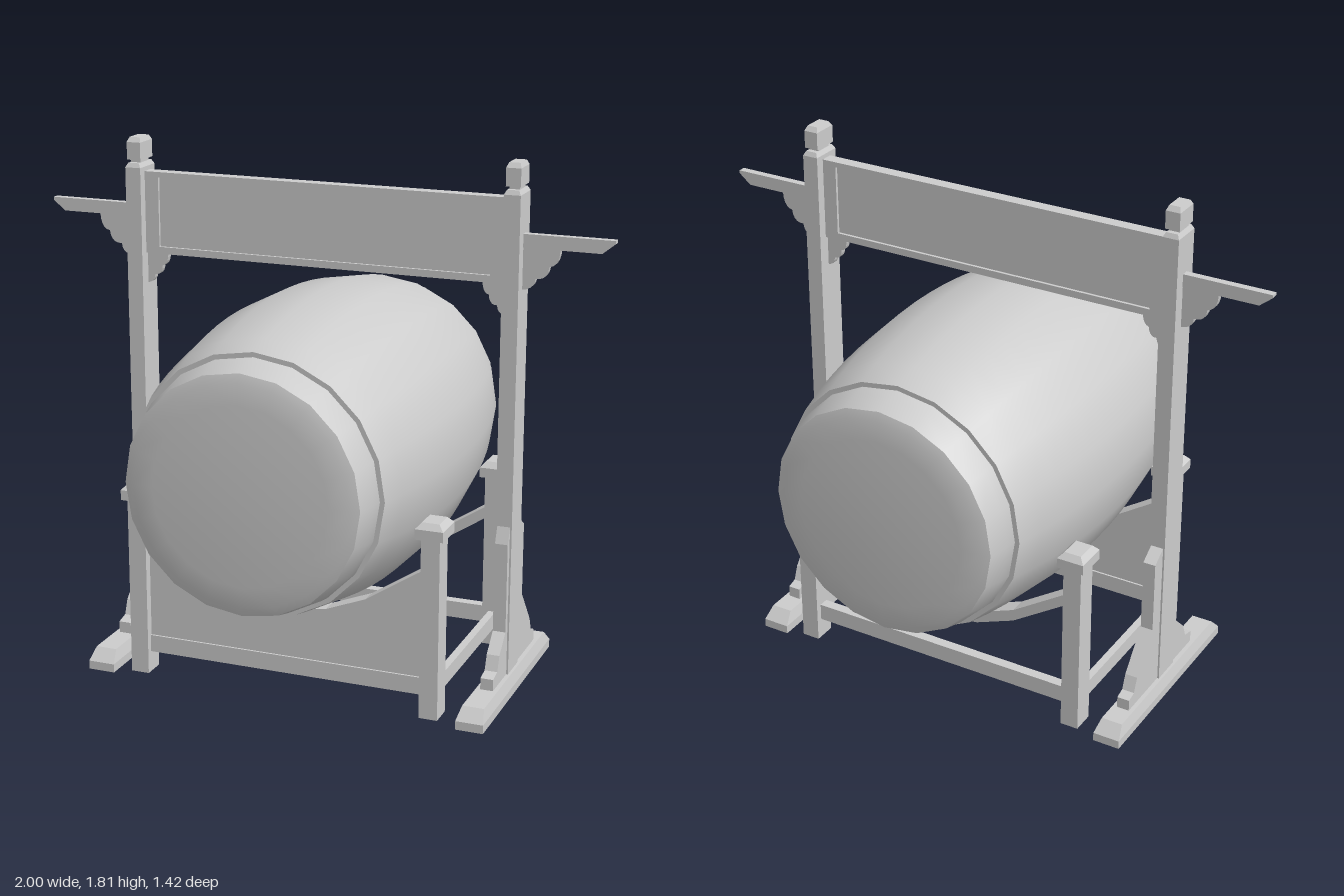
import * as THREE from 'three';
import { toCreasedNormals, mergeVertices } from 'three/addons/utils/BufferGeometryUtils.js';

export function createModel() {
  const root = new THREE.Group();
  root.name = 'drumOnStand';
  const grey = new THREE.MeshStandardMaterial({ color: 0xcccccc });
  grey.name = 'plainGrey';

  function add(name, geometry, x = 0, y = 0, z = 0, parent = root) {
    const mesh = new THREE.Mesh(geometry, grey);
    mesh.name = name;
    mesh.position.set(x, y, z);
    parent.add(mesh);
    return mesh;
  }

  // Box standing on its base, with the top face shrunk by an inset on x and z
  function block(w, h, d, insetX = 0, insetZ = insetX) {
    const g = new THREE.BoxGeometry(w, h, d).translate(0, h / 2, 0).toNonIndexed();
    const p = g.attributes.position;
    for (let i = 0; i < p.count; i++) {
      if (p.getY(i) < h / 2) continue;
      p.setX(i, p.getX(i) - Math.sign(p.getX(i)) * insetX);
      p.setZ(i, p.getZ(i) - Math.sign(p.getZ(i)) * insetZ);
    }
    g.computeVertexNormals();
    return g;
  }

  const outline = points => new THREE.Shape(points.map(([x, y]) => new THREE.Vector2(x, y)));

  // Flat plate cut from a shape, centred on its thickness
  function plate(shape, depth) {
    return new THREE.ExtrudeGeometry(shape, { depth, bevelEnabled: false, curveSegments: 5 })
      .translate(0, 0, -depth / 2);
  }

  // Barrel and stretched skins, turned as profiles of [radius, z]
  function turned(profile) {
    const g = new THREE.LatheGeometry(profile.map(([r, z]) => new THREE.Vector2(r, z)), 20);
    g.rotateX(Math.PI / 2);
    g.deleteAttribute('normal');
    g.deleteAttribute('uv');
    return toCreasedNormals(mergeVertices(g), 0.6);
  }
  const drum = new THREE.Group();
  drum.name = 'drum';
  drum.position.y = 0.817;
  root.add(drum);
  const staves = [[0.415, -0.58]];
  for (let i = -6; i <= 6; i++) {
    const t = i / 6;
    staves.push([0.513 - 0.073 * t * t, 0.58 * t]);
  }
  staves.push([0.415, 0.58]);
  add('barrel', turned(staves), 0, 0, 0, drum);
  const skin = turned([[0.425, 0.57], [0.418, 0.62], [0.4, 0.69], [0.37, 0.7], [0.3, 0.707], [0, 0.71]]);
  add('frontSkin', skin, 0, 0, 0, drum);
  add('backSkin', skin, 0, 0, 0, drum).rotation.y = Math.PI;

  // Low stand: four capped posts
  for (const sx of [-1, 1]) {
    for (const sz of [-1, 1]) {
      const post = new THREE.Group();
      post.name = 'standPost';
      post.position.set(sx * 0.523, 0, sz * 0.34);
      root.add(post);
      add('postShaft', block(0.064, 0.63, 0.08), 0, 0.015, 0, post);
      add('postCapBase', block(0.095, 0.035, 0.115), 0, 0.64, 0, post);
      add('postCapTop', block(0.095, 0.02, 0.115, 0.018), 0, 0.675, 0, post);
    }
    add('sideRail', block(0.026, 0.055, 0.62), sx * 0.527, 0.085, 0);
  }

  // Curved cradles, lower rails and the front board
  const dip = [[-0.5, 0.53], [-0.3, 0.4], [-0.16, 0.345], [0, 0.325], [0.16, 0.345], [0.3, 0.4], [0.5, 0.53]];
  const under = dip.map(([x, y]) => [x, y - 0.042]).reverse();
  const cradle = plate(outline([...dip, ...under].reverse()), 0.06);
  for (const sz of [-1, 1]) {
    add('cradle', cradle, 0, 0, sz * 0.34);
    add('lowerRail', block(1, 0.06, 0.036), 0, 0.088, sz * 0.34);
  }
  add('frontBoard', plate(outline([[-0.5, 0.13], [0.5, 0.13], ...under.map(([x, y]) => [x, y + 0.01])]), 0.022), 0, 0, 0.34);

  // Tall uprights with feet, braces and finials
  const brace = plate(outline([
    [-0.205, 0.065], [0.27, 0.065], [0.27, 0.11], [0.235, 0.12], [0.215, 0.17], [0.11, 0.3], [0.11, 0.555],
    [0.05, 0.595], [-0.055, 0.595], [-0.077, 0.54], [-0.077, 0.23], [-0.14, 0.17], [-0.16, 0.12], [-0.205, 0.11],
  ]), 0.044).rotateY(Math.PI / 2);

  // Scalloped bracket filling the corner at the origin, spreading to +x and down
  function bracket(w, h) {
    const s = new THREE.Shape();
    s.moveTo(0, 0);
    s.lineTo(0, -h);
    s.quadraticCurveTo(w * 0.34, -h * 0.98, w * 0.36, -h * 0.72);
    s.quadraticCurveTo(w * 0.68, -h * 0.75, w * 0.72, -h * 0.42);
    s.quadraticCurveTo(w * 0.98, -h * 0.4, w, 0);
    return plate(s, 0.022);
  }
  const arm = plate(outline([[0.69, 1.53], [0.955, 1.53], [0.998, 1.565], [0.998, 1.575], [0.69, 1.575]]), 0.026);

  for (const turn of [0, Math.PI]) {
    const side = new THREE.Group();
    side.name = turn ? 'rightUpright' : 'leftUpright';
    root.add(side);
    const sx = turn ? -1 : 1;
    const x = sx * 0.668;
    add('footBase', block(0.095, 0.03, 0.78), x, 0, 0, side);
    add('footTop', block(0.095, 0.04, 0.78, 0.01, 0.04), x, 0.03, 0, side);
    add('upright', block(0.056, 1.64, 0.11), x, 0.065, 0, side);
    add('uprightTop', block(0.056, 0.015, 0.11, 0.008), x, 1.705, 0, side);
    add('finialNeck', block(0.036, 0.02, 0.06), x, 1.715, 0, side);
    add('finialBase', block(0.05, 0.06, 0.092), x, 1.73, 0, side);
    add('finialTop', block(0.05, 0.016, 0.092, 0.006, 0.012), x, 1.79, 0, side);
    add('brace', brace, x, 0, 0, side);
    add('outerArm', arm, 0, 0, 0, side).rotation.y = turn;
    add('outerBracket', bracket(0.125, 0.14), sx * 0.694, 1.532, 0, side).rotation.y = turn;
    add('innerBracket', bracket(0.08, 0.11), sx * 0.642, 1.412, 0, side).rotation.y = turn + Math.PI;
  }

  // Header beam: a frame around a recessed board
  const frame = outline([[-0.645, 1.408], [0.645, 1.408], [0.645, 1.69], [-0.645, 1.69]]);
  frame.holes.push(new THREE.Path([[-0.59, 1.432], [-0.59, 1.672], [0.59, 1.672], [0.59, 1.432]]
    .map(([x, y]) => new THREE.Vector2(x, y))));
  add('headerFrame', plate(frame, 0.044));
  add('headerBoard', block(1.2, 0.25, 0.024), 0, 1.427, 0);

  return root;
}
